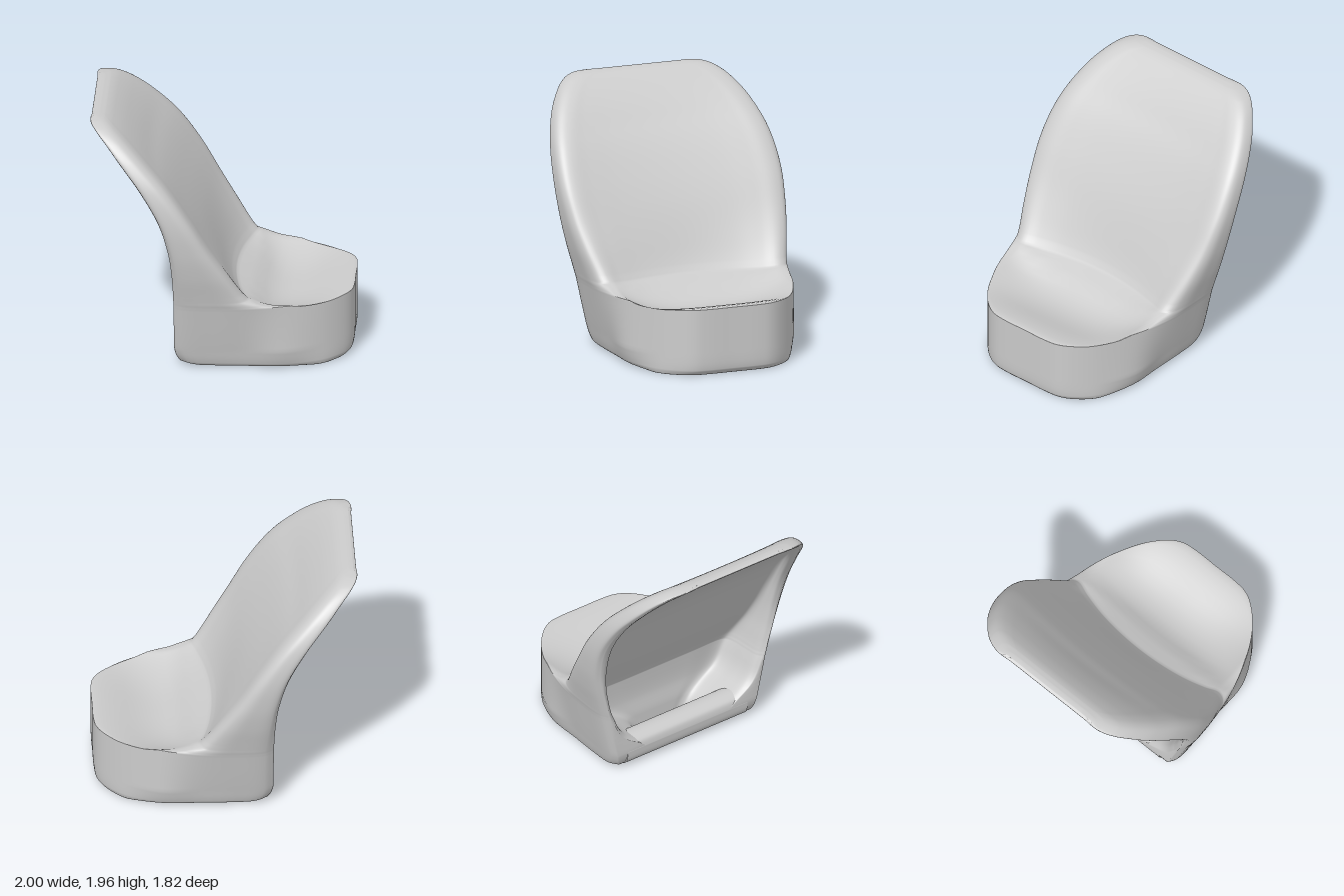
import * as THREE from 'three';
import { toCreasedNormals } from 'three/addons/utils/BufferGeometryUtils.js';

const N = 90;   // samples across each outline of a section
const SUB = 5;  // sections between two key sections
const { clamp, smoothstep } = THREE.MathUtils;

// Key sections: height, seat extent (1 = full seat, 0 = backrest only),
// backrest front x, rear x, outer half width, hollow front x, hollow half width
const KEYS = [
  [0, .95, .25, -.2, .61, .06, .29],
  [.01, .965, .25, -.25, .65, .045, .28],
  [.04, .99, .25, -.31, .675, .03, .28],
  [.15, 1, .25, -.35, .705, .03, .36],
  [.3, 1, .25, -.35, .74, .045, .57],
  [.505, 1, .25, -.35, .785, .03, .675],
  [.525, .97, .25, -.35, .79, .022, .682],
  [.54, .62, .25, -.35, .794, .014, .688],
  [.56, .22, .24, -.35, .80, .004, .694],
  [.585, 0, .215, -.351, .806, -.01, .702],
  [.64, 0, .167, -.352, .82, -.043, .717],
  [.8, 0, .06, -.36, .86, -.14, .755],
  [1.0, 0, -.07, -.385, .895, -.25, .78],
  [1.25, 0, -.22, -.46, .91, -.38, .79],
  [1.5, 0, -.395, -.605, .88, -.535, .765],
  [1.7, 0, -.58, -.765, .805, -.72, .69],
  [1.83, 0, -.72, -.88, .715, -.85, .57],
  [1.91, 0, -.825, -.965, .62, -.955, .47],
  [1.945, 0, -.89, -1, .52, -.995, .41],
  [1.957, 0, -.94, -.975, .42, -.97, .38],
];

// Smooth blend of the key sections at row position u, with tangents taken over height
function keyAt(u) {
  const i = Math.min(Math.floor(u), KEYS.length - 2), t = u - i;
  const [a, b, d, e] = [-1, 0, 1, 2].map(k => KEYS[clamp(i + k, 0, KEYS.length - 1)]);
  const h = d[0] - b[0];
  return KEYS[0].map((_, c) => {
    const m = h * (d[c] - a[c]) / (d[0] - a[0]), n = h * (e[c] - b[c]) / (e[0] - b[0]);
    const v = b[c] + t * (m + t * (3 * (d[c] - b[c]) - 2 * m - n + t * (2 * (b[c] - d[c]) + m + n)));
    return clamp(v, Math.min(b[c], d[c]), Math.max(b[c], d[c])); // no overshoot
  });
}

// Mirror a half outline (rear to centre, +z side) and sample it as a smooth curve
function mirrored(half) {
  const left = half.map(([x, z]) => new THREE.Vector3(x, 0, z));
  const right = left.slice(0, -1).reverse().map(p => new THREE.Vector3(p.x, 0, -p.z));
  return new THREE.CatmullRomCurve3([...left, ...right]).getPoints(N);
}

// Height of a skin point: the seat has a level rim, a bowl in the middle,
// and sweeps up into the backrest
function skinHeight(x, z, y) {
  if (y < .505) return y;
  const sweep = .525 + .075 * (Math.max(0, .45 - x) / .25) ** 2;
  const top = x > .2 ? Math.min(y, sweep) : y;
  const along = Math.abs(x - .5) < .5 ? Math.cos(Math.PI * (x - .5)) ** 2 : 0;
  const fade = smoothstep(y, .505, .525);
  return top - .11 * fade * along * Math.max(0, 1 - Math.abs(z / .67) ** 3);
}

// One C-shaped section: outer outline forward, hollow outline back
function section(u) {
  const [y, s, F, R, W, I, w] = keyAt(u);
  const D = F - R, d = I - R;
  const hollow = .05 * clamp((1.95 - y) * 3, 0, 1) + .07 * (1 - smoothstep(y, .55, 1.1));
  const back = [
    [R, W - .05], [R + D * .12, W - .008], [R + D * .5, W], [R + D * .78, W - .012],
    [R + D * .94, W - .045], [F, W - .11], [F - hollow * .3, W * .72],
    [F - hollow * .68, W * .5], [F - hollow * .92, W * .25], [F - hollow, 0],
  ];
  const seat = [
    [R, W - .05], [R + .07, W - .008], [-.05, W], [.2, W - .1 * (W - .6)],
    [.5, Math.min(.69, W - .015)], [.78, .55], [.93, .41], [.985, .31], [1, .2], [1, 0],
  ];
  const outer = mirrored(back.map(([x, z], i) =>
    [x + (seat[i][0] - x) * s, z + (seat[i][1] - z) * s]));
  const inner = mirrored([
    [R, w + .045], [R + d * .12, w + .008], [R + d * .4, w - .008], [R + d * .75, w - .02],
    [R + d * .95, w - .045], [I, w - .09], [I, w * .5], [I, w * .25], [I, 0],
  ]).reverse();
  for (const p of outer) p.y = skinHeight(p.x, p.z, y);
  for (const p of inner) p.y = y;
  return [...outer, ...inner];
}

// Seat and backrest skin, lofted from floor to top edge and closed at both ends
function shellGeometry() {
  const levels = (KEYS.length - 1) * SUB, count = 2 * (N + 1);
  const pos = [], index = [];
  for (let k = 0; k <= levels; k++)
    for (const p of section(k / SUB)) pos.push(p.x, p.y, p.z);
  for (let k = 0; k < levels; k++)
    for (let j = 0; j < count; j++) {
      const a = k * count + j, b = k * count + (j + 1) % count;
      index.push(a, b, b + count, a, b + count, a + count);
    }
  const top = levels * count;
  for (let i = 0; i < N; i++) {
    const o = i, p = i + 1, q = count - 2 - i, r = count - 1 - i;
    index.push(o, q, p, o, r, q);
    index.push(top + o, top + p, top + q, top + o, top + q, top + r);
  }
  const g = new THREE.BufferGeometry();
  g.setAttribute('position', new THREE.Float32BufferAttribute(pos, 3));
  g.setIndex(index);
  g.computeVertexNormals();
  return g;
}

// Thick rounded bar closing the bottom of the open rear, leaving a slot in the floor
function barGeometry() {
  const pts = [
    [-.35, .15], [-.335, .06], [-.27, .012], [-.16, .004], [-.11, .03],
    [-.1, .09], [-.12, .17], [-.18, .225], [-.26, .235], [-.33, .205],
  ].map(p => new THREE.Vector2(...p));
  const outline = new THREE.SplineCurve([...pts, pts[0]]).getPoints(60);
  const g = new THREE.ExtrudeGeometry(new THREE.Shape(outline),
    { depth: 1.14, bevelEnabled: false });
  g.translate(0, 0, -.57);
  return toCreasedNormals(g, .8);
}

export function createModel() {
  const group = new THREE.Group();
  group.name = 'seatShell';
  const material = new THREE.MeshStandardMaterial({ color: 0xcccccc });
  const add = (name, geometry) => {
    const mesh = new THREE.Mesh(geometry, material);
    mesh.name = name;
    group.add(mesh);
  };
  add('seatAndBackrest', shellGeometry());
  add('rearBar', barGeometry());
  return group;
}
